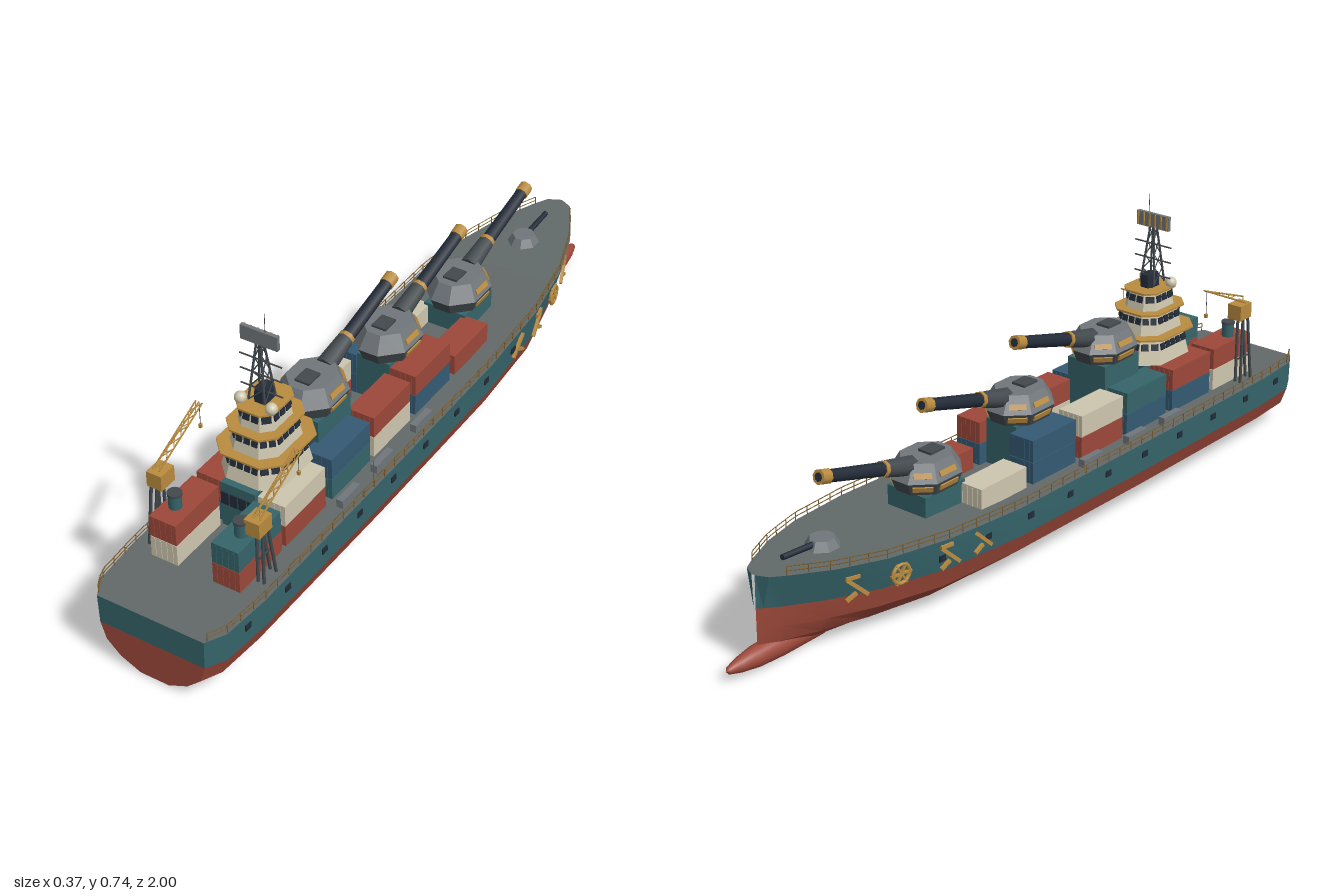
import * as THREE from 'three';
import { toCreasedNormals } from 'three/addons/utils/BufferGeometryUtils.js';

const mat = (name, color) => Object.assign(new THREE.MeshStandardMaterial({ color }), { name });
const M = {
  red: mat('hullRed', 0x9c4839), teal: mat('teal', 0x35646a), deck: mat('deckGrey', 0x626969),
  steel: mat('turretGrey', 0x70767a), dark: mat('darkSteel', 0x42494d), navy: mat('navy', 0x222b38),
  cream: mat('cream', 0xcdc6ae), gold: mat('gold', 0xb98b3f), blue: mat('blue', 0x345a74), bronze: mat('bronze', 0x7d6030),
};
// Hull stations: z, deck half width, deck y, waterline half width, waterline y, keel y
const ST = [
  [1, .145, .185, .143, .108, .003], [.95, .172, .185, .17, .108, .002], [.82, .182, .185, .18, .108, .001],
  [.3, .184, .185, .183, .108, 0], [-.2, .183, .187, .18, .11, 0], [-.45, .175, .2, .165, .118, .002],
  [-.63, .148, .212, .125, .128, .012], [-.755, .108, .222, .08, .136, .02], [-.85, .06, .23, .035, .144, .025],
  [-.89, .035, .233, .012, .148, .03], [-.905, .005, .234, .003, .15, .035],
];
function hullAt(z) {
  let i = 0;
  while (i < ST.length - 2 && ST[i + 1][0] > z) i++;
  const t = (z - ST[i][0]) / (ST[i + 1][0] - ST[i][0]);
  return ST[i].map((v, k) => v + (ST[i + 1][k] - v) * t);
}
// Half of the bottom section: fraction of beam, fraction of draught
const HALF = [[1, 1], [.9, .56], [.64, .23], [.27, 0]];
const bottom = ([, , , w, wy, ky]) => [...HALF.map(([a, b]) => [a * w, ky + b * (wy - ky)]),
  ...HALF.slice().reverse().map(([a, b]) => [-a * w, ky + b * (wy - ky)])];

function add(parent, name, geo, m, x = 0, y = 0, z = 0) {
  const mesh = new THREE.Mesh(geo, m);
  mesh.name = name;
  mesh.position.set(x, y, z);
  parent.add(mesh);
  return mesh;
}
const box = (p, name, m, w, h, d, x, y, z) => add(p, name, new THREE.BoxGeometry(w, h, d), m, x, y, z);
function rod(p, name, m, a, b, r, r2 = r, sides = 6) {
  const A = new THREE.Vector3(...a), B = new THREE.Vector3(...b), dir = B.clone().sub(A);
  const mesh = add(p, name, new THREE.CylinderGeometry(r2, r, dir.length(), sides), m);
  mesh.position.copy(A.add(B).multiplyScalar(.5));
  mesh.quaternion.setFromUnitVectors(new THREE.Vector3(0, 1, 0), dir.normalize());
  return mesh;
}
function group(p, name, x = 0, y = 0, z = 0) {
  const g = new THREE.Group();
  g.name = name;
  g.position.set(x, y, z);
  p.add(g);
  return g;
}
// Skin between section lines, from stern to bow
function loft(sections) {
  const v = [];
  for (let i = 0; i < sections.length - 1; i++)
    for (let j = 0; j < sections[0].length - 1; j++) {
      const a = sections[i][j], b = sections[i][j + 1], c = sections[i + 1][j + 1], d = sections[i + 1][j];
      v.push(...a, ...b, ...c, ...a, ...c, ...d);
    }
  const g = new THREE.BufferGeometry();
  g.setAttribute('position', new THREE.Float32BufferAttribute(v, 3));
  g.computeVertexNormals();
  return toCreasedNormals(g, .4);
}
const flat = pts => new THREE.ShapeGeometry(new THREE.Shape(pts.map(q => new THREE.Vector2(...q))));
// Rectangle with cut corners, drawn upward and narrowed at the top
function prism(w, d, h, c, taper = 1) {
  const a = w / 2, b = d / 2;
  const s = new THREE.Shape([[a, b - c], [a - c, b], [c - a, b], [-a, b - c], [-a, c - b], [c - a, -b], [a - c, -b], [a, c - b]]
    .map(q => new THREE.Vector2(...q)));
  const g = new THREE.ExtrudeGeometry(s, { depth: h, bevelEnabled: false }).rotateX(-Math.PI / 2), p = g.attributes.position;
  for (let i = 0; i < p.count; i++) {
    const k = 1 + (taper - 1) * p.getY(i) / h;
    p.setX(i, p.getX(i) * k).setZ(i, p.getZ(i) * k);
  }
  g.computeVertexNormals();
  return g;
}
// Thin plates lying on the sloping faces of a prism
function plates(p, name, m, [w, d, h, c, taper], f, ph, fill, pitch, onlySides) {
  const k = 1 + (taper - 1) * f, a = w / 2, b = d / 2;
  const faces = [[a, 0, d - 2 * c], [-a, 0, d - 2 * c]];
  if (!onlySides) faces.push([0, b, w - 2 * c], [0, -b, w - 2 * c]);
  for (const sx of [1, -1]) for (const sz of onlySides ? [-1] : [1, -1]) faces.push([sx * (a - c / 2), sz * (b - c / 2), c * 1.41]);
  faces.forEach(([x, z, len], i) => {
    const corner = x !== 0 && z !== 0;
    const yaw = corner ? Math.atan2(Math.sign(x), Math.sign(z)) : Math.atan2(x, z);
    const dist = x * Math.sin(yaw) + z * Math.cos(yaw);
    const g = group(p, name, x * k, h * f, z * k);
    g.rotation.set(-Math.atan(dist * (1 - taper) / h), yaw, 0, 'YXZ');
    const n = Math.max(1, Math.round(len * k / pitch)), step = len * k / n;
    for (let j = 0; j < n; j++) box(g, name, m, step * fill, ph, .005, (j - (n - 1) / 2) * step, 0, .001);
  });
}

function buildHull(p) {
  add(p, 'lowerHull', loft(ST.map(s => bottom(s).map(([x, y]) => [x, y, s[0]]))), M.red);
  add(p, 'leftStrake', loft(ST.map(s => [[s[1], s[2], s[0]], [s[3], s[4], s[0]]])), M.teal);
  add(p, 'rightStrake', loft(ST.map(s => [[-s[3], s[4], s[0]], [-s[1], s[2], s[0]]])), M.teal);
  add(p, 'deck', loft(ST.map(s => [[-s[1], s[2], s[0]], [s[1], s[2], s[0]]])), M.deck);
  const [z, dw, dy, ww, wy] = ST[0];
  add(p, 'lowerTransom', flat(bottom(ST[0])), M.red, 0, 0, z);
  add(p, 'upperTransom', flat([[-ww, wy], [ww, wy], [dw, dy], [-dw, dy]]), M.teal, 0, 0, z);
  const bulb = [[0, 0], [.009, .008], [.018, .04], [.026, .09], [.029, .16], [.028, .28], [.018, .4], [0, .46]].map(q => new THREE.Vector2(...q));
  add(p, 'bowBulb', new THREE.LatheGeometry(bulb, 16).rotateX(Math.PI / 2), M.red, 0, .031, -1);
  for (const s of [1, -1]) {
    // Portholes
    for (let z = .88; z > -.5; z -= .15) {
      const h = hullAt(z);
      box(p, 'porthole', M.navy, .006, .016, .02, s * (h[1] + h[3]) / 2, .155, z);
    }
    // Deck railing
    const pts = [];
    for (let z = .99; z > -.9; z -= .045) {
      const h = hullAt(z), x = s * Math.max(h[1] - .003, .004);
      pts.push([x, h[2], z]);
      rod(p, 'railPost', M.bronze, [x, h[2], z], [x, h[2] + .022, z], .0016, .0016, 4);
    }
    for (const up of [.011, .022]) {
      const c = new THREE.CatmullRomCurve3(pts.map(q => new THREE.Vector3(q[0], q[1] + up, q[2])));
      add(p, 'handrail', new THREE.TubeGeometry(c, 60, .0015, 4), M.bronze);
    }
    // Golden fittings on the bow
    [-.34, -.45, -.59, -.7].forEach((z, i) => {
      const h = hullAt(z), h2 = hullAt(z - .03);
      const g = group(p, 'bowFitting', s * ((h[1] + h[3]) / 2 + .005), .158, z);
      g.rotation.y = s * Math.PI / 2 + s * Math.atan2(h[1] - h2[1], .03);
      if (i === 2) {
        add(g, 'wheelRim', new THREE.TorusGeometry(.024, .005, 6, 16), M.gold);
        for (let k = 0; k < 3; k++) box(g, 'wheelSpoke', M.gold, .06, .005, .007, 0, 0, 0).rotation.z = k * Math.PI / 3;
      } else {
        box(g, 'fittingArm', M.gold, .07, .009, .008, 0, 0, 0).rotation.z = s * .75;
        box(g, 'fittingFoot', M.gold, .03, .008, .008, s * .016, -.02, 0).rotation.z = -s * .5;
        if (i) box(g, 'fittingHead', M.gold, .036, .009, .008, s * .012, .028, 0);
      }
    });
    // Low deck lockers
    for (const z of [.1, .28, .43]) box(p, 'deckLocker', M.steel, .018, .022, .075, s * .152, .196, z);
  }
  rod(p, 'flagPole', M.bronze, [.178, .185, .36], [.178, .262, .36], .0015);
}

function buildContainers(p) {
  // z centre, then [lower, upper] colours for left and right
  const rows = [
    [.745, ['red', 'teal'], ['cream', 'red']], [.562, ['red', 'cream'], ['blue', 'red']],
    [.368, ['teal', 'blue'], ['blue', 'teal']], [.184, ['cream', 'red'], ['red', 'cream']],
    [-.006, ['blue', 'red'], ['blue', 'blue']], [-.196, ['red'], ['cream']],
  ];
  for (const [z, ...sides] of rows) sides.forEach((cols, k) => cols.forEach((c, lvl) => {
    const g = group(p, 'container', (k ? -1 : 1) * .085, .214 + lvl * .0585, z);
    box(g, 'containerBody', M[c], .073, .057, .166, 0, 0, 0);
    for (const e of [1, -1]) for (const x of [-.024, -.008, .008, .024]) box(g, 'doorBar', M[c], .003, .05, .002, x, 0, e * .0835);
  }));
  for (const s of [1, -1]) {
    rod(p, 'ventStack', M.teal, [s * .09, .3, .77], [s * .09, .336, .77], .016, .016, 12);
    rod(p, 'ventCap', M.dark, [s * .09, .336, .77], [s * .09, .343, .77], .018, .018, 12);
  }
}

function buildTurret(p, y, z, baseW, baseY) {
  const t = group(p, 'gunTurret', 0, y, z);
  box(t, 'turretBase', M.teal, baseW, y - baseY, .14, 0, (baseY - y) / 2, 0);
  add(t, 'turretRing', prism(.11, .13, .016, .035), M.dark, 0, -.006, 0);
  const lower = [.13, .16, .032, .042, 1.16], upper = [.151, .186, .043, .049, .72];
  add(t, 'turretSkirt', prism(...lower), M.dark);
  add(t, 'turretHouse', prism(...upper), M.steel, 0, .032, 0);
  plates(t, 'skirtPanel', M.gold, lower, .55, .014, .75, .08, true);
  const hood = group(t, 'turretPanels', 0, .032, 0);
  plates(hood, 'housePanel', M.gold, upper, .4, .014, .7, .08, true);
  box(t, 'roofHatch', M.dark, .04, .008, .05, 0, .077, .02);
  const at = f => [0, .046 + .096 * f, -.355 * f];
  rod(t, 'gunSleeve', M.dark, at(.15), at(.4), .026, .021, 8);
  rod(t, 'gunBarrel', M.navy, at(.2), at(.97), .019, .016, 8);
  rod(t, 'barrelBand', M.gold, at(.4), at(.43), .021, .021, 8);
  rod(t, 'muzzle', M.gold, at(.92), at(1), .0185, .0185, 8);
  rod(t, 'bore', M.navy, at(.99), at(1.003), .011, .011, 8);
}

function buildTower(p) {
  const t = group(p, 'bridgeTower', 0, 0, .535);
  box(t, 'towerBase', M.teal, .096, .125, .2, 0, .2475, .02);
  for (let i = 0; i < 4; i++) box(t, 'baseWindow', M.navy, .02, .034, .004, (i - 1.5) * .024, .267, .121);
  // Three tiers, each under a golden walkway: y, width, depth, height, taper, walkway width, walkway depth
  for (const [y, w, d, h, k, sw, sd] of [[.308, .172, .205, .069, .83, .188, .215], [.381, .134, .165, .056, .85, .142, .175], [.441, .1, .125, .046, .86, .104, .13]]) {
    const g = group(t, 'towerTier', 0, y, 0), spec = [w, d, h, w * .24, k];
    add(g, 'tierWalls', prism(...spec), M.cream);
    plates(g, 'tierWindow', M.navy, spec, .66, .017, .75, .021);
    add(g, 'walkway', prism(sw, sd, .005, w * .24), M.gold, 0, h, 0);
  }
  for (const s of [1, -1]) add(t, 'radarDome', new THREE.SphereGeometry(.015, 16, 12), M.cream, s * .042, .499, .035);
  add(t, 'mastHouse', prism(.036, .05, .034, .008, .9), M.navy, 0, .491, 0);

  const m = group(t, 'mast', 0, 0, .01);
  const leg = (sx, sz, f) => [sx * (.022 - .016 * f), .5 + .15 * f, sz * (.022 - .016 * f)];
  for (const s of [1, -1]) for (const q of [1, -1]) {
    rod(m, 'mastLeg', M.dark, leg(s, q, 0), leg(s, q, 1), .0028);
    for (let i = 0; i < 4; i++) {
      rod(m, 'mastBrace', M.dark, leg(-s, s * q, i / 4), leg(s * q, q === 1 ? 1 * s : s, (i + 1) / 4), .0016, .0016, 4);
    }
  }
  for (const y of [.52, .562, .603]) rod(m, 'yard', M.dark, [-.057, y, 0], [.057, y, 0], .002);
  box(m, 'radarPanel', M.steel, .1, .038, .01, 0, .666, 0);
  for (let i = 0; i < 6; i++) box(m, 'radarRib', M.gold, .004, .036, .004, (i - 2.5) * .018, .666, -.006);
  rod(m, 'antenna', M.dark, [.015, .64, 0], [.015, .735, 0], .001, .001, 4);
}

function buildCrane(p, s, y, z) {
  const c = group(p, 'deckCrane', s * .125, 0, z);
  for (const a of [.008, .024]) for (const q of [1, -1])
    rod(c, 'craneLeg', M.dark, [s * a, .185, q * .024], [s * (a - .008), y, q * .011], .004);
  rod(c, 'legBrace', M.dark, [s * .012, .25, -.02], [s * .012, .25, .02], .0025);
  box(c, 'craneCab', M.gold, .041, .041, .05, -s * .003, y + .02, 0);
  // Lattice jib reaching toward the bow
  const at = (x, f, up = 0) => [x, y + .041 + .08 * f + up * (1 - f), .01 - .17 * f];
  for (const x of [-.009, .009]) {
    rod(c, 'jibRail', M.gold, at(x, 0), at(x, 1), .0022, .0022, 4);
    for (let i = 0; i < 6; i++) rod(c, 'jibBrace', M.gold, at(x, i / 6), at(-x, (i + 1) / 6), .0015, .0015, 4);
  }
  rod(c, 'jibTop', M.gold, at(0, 0, .016), at(0, 1), .0022, .0022, 4);
  for (let i = 0; i < 5; i++) rod(c, 'jibStrut', M.gold, at(0, i / 5, .016), at(i % 2 ? .009 : -.009, (i + .5) / 5), .0014, .0014, 4);
  const tip = at(0, 1);
  rod(c, 'hoistCable', M.dark, tip, [0, tip[1] - .065, tip[2]], .001, .001, 4);
  box(c, 'hook', M.gold, .007, .01, .007, 0, tip[1] - .068, tip[2]);
}

export function createModel() {
  const ship = new THREE.Group();
  ship.name = 'ship';
  buildHull(ship);
  buildContainers(ship);
  buildTurret(ship, .36, .342, .12, .185);
  buildTurret(ship, .308, .006, .094, .185);
  buildTurret(ship, .25, -.338, .12, .185);
  buildTower(ship);
  buildCrane(ship, -1, .36, .775);
  buildCrane(ship, 1, .312, .75);
  // Small bow gun
  const g = group(ship, 'bowGun', 0, .214, -.69);
  add(g, 'bowGunRing', prism(.06, .06, .008, .018), M.dark);
  add(g, 'bowGunHouse', prism(.078, .085, .022, .025, .7), M.steel, 0, .007, 0);
  rod(g, 'bowGunBarrel', M.navy, [0, .019, -.02], [0, .026, -.125], .008, .007, 8);
  return ship;
}
